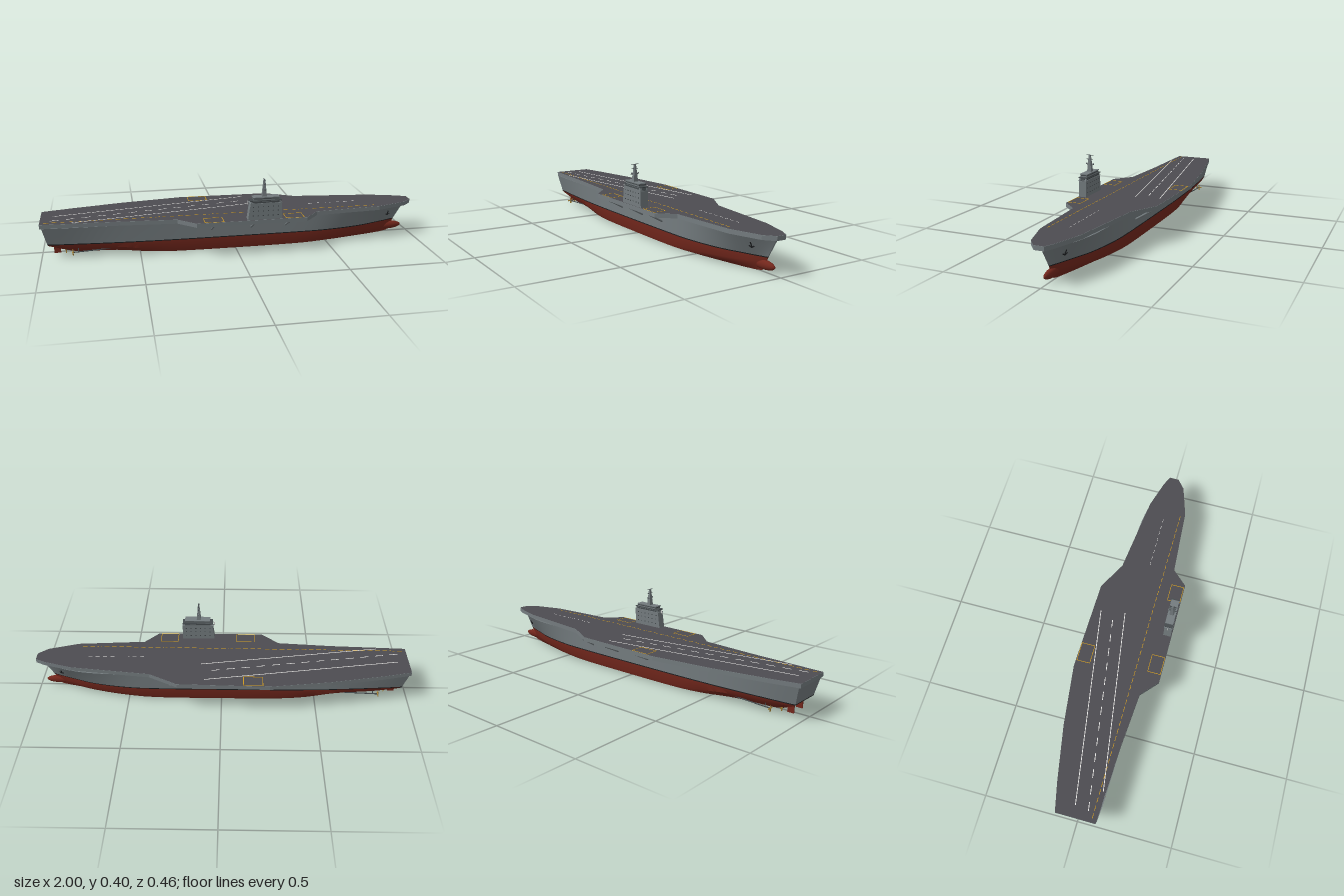
import * as THREE from 'three';
import { toCreasedNormals } from 'three/addons/utils/BufferGeometryUtils.js';

const mat = (name, color) => Object.assign(new THREE.MeshStandardMaterial({ color }), { name });

export function createModel() {
  const root = new THREE.Group();
  root.name = 'aircraftCarrier';
  const grey = mat('hullGrey', 0x747c7f);
  const red = mat('antifoulingRed', 0x73271c);
  const black = mat('blackTrim', 0x1d1f21);
  const deckMat = mat('deckAsphalt', 0x4d4c51);
  const white = mat('markingWhite', 0xe6e6e4);
  const yellow = mat('markingYellow', 0xd09a1e);
  const dark = mat('darkGrey', 0x454b4e);
  const brass = mat('propellerBrass', 0xa98436);

  const V = (x, y, z) => new THREE.Vector3(x, y, z);
  const add = (name, geo, material, parent = root) => {
    const m = new THREE.Mesh(geo, material);
    m.name = name;
    parent.add(m);
    return m;
  };
  const group = (name) => {
    const g = new THREE.Group();
    g.name = name;
    root.add(g);
    return g;
  };
  const box = (name, w, h, d, x, y, z, material, parent) => {
    const m = add(name, new THREE.BoxGeometry(w, h, d), material, parent);
    m.position.set(x, y, z);
    return m;
  };
  const rod = (name, a, b, r, material, parent, sides = 8) => {
    const m = add(name, new THREE.CylinderGeometry(r, r, a.distanceTo(b), sides), material, parent);
    m.position.copy(a).lerp(b, 0.5);
    m.quaternion.setFromUnitVectors(V(0, 1, 0), b.clone().sub(a).normalize());
    return m;
  };

  // Hull stations: x at keel, waterline, deck; half-width at keel, waterline, deck; keel height
  const CZ = 0.003, WL = 0.07, TOP = 0.1665;
  const stations = [
    [-0.93, -0.967, -0.99, 0.02, 0.085, 0.105, 0.045],
    [-0.84, -0.86, -0.87, 0.012, 0.095, 0.113, 0.004],
    [-0.62, -0.62, -0.62, 0.03, 0.112, 0.119, 0.001],
    [-0.42, -0.42, -0.42, 0.085, 0.12, 0.123, 0],
    [-0.2, -0.2, -0.2, 0.102, 0.123, 0.123, 0],
    [0.3, 0.3, 0.3, 0.102, 0.123, 0.123, 0],
    [0.5, 0.5, 0.5, 0.08, 0.115, 0.123, 0],
    [0.68, 0.68, 0.68, 0.045, 0.085, 0.115, 0],
    [0.8, 0.8, 0.8, 0.018, 0.045, 0.095, 0],
    [0.855, 0.865, 0.88, 0.006, 0.022, 0.066, 0.002],
    [0.885, 0.918, 0.975, 0.001, 0.002, 0.004, 0.006],
  ];
  const spline = new THREE.CubicInterpolant(stations.map((_, i) => i), stations.flat(), 7);
  const SUB = 5, sections = [];
  for (let i = 0; i <= (stations.length - 1) * SUB; i++) {
    sections.push(Array.from(spline.evaluate(Math.min(i / SUB, stations.length - 1))));
  }
  const lerp = THREE.MathUtils.lerp;

  // Section rules return [x, y, halfWidth] rows from low to high
  const lowerRows = ([xb, xw, , wb, ww, , k]) => {
    const f = Math.min(1, (wb / ww) * 1.2);
    const ys = [0, lerp(0.5, 0.09, f), lerp(0.85, 0.3, f), 1];
    const ws = [0, 0.7, 0.95, 1];
    return [[xb, k, 0], ...ys.map((t, j) => [lerp(xb, xw, t), lerp(k, WL, t), lerp(wb, ww, ws[j])])];
  };
  const upperRow = ([, xw, xd, , ww, wd], y) => {
    const t = (y - WL) / (TOP - WL);
    return [lerp(xw, xd, t), y, lerp(ww, wd, t)];
  };
  const bandRows = (s) => [upperRow(s, WL), upperRow(s, 0.075)];
  const upperRows = (s) => [...[0.075, 0.1, 0.13, 0.15, TOP].map((y) => upperRow(s, y)), [s[2], TOP, 0]];

  // Loft both sides, closing bow and stern with zero-width sections
  const loft = (rule) => {
    const rows = sections.map(rule);
    const flat = (r) => r.map(([x, y]) => [x, y, 0]);
    const all = [flat(rows[0]), ...rows, flat(rows[rows.length - 1])];
    const n = all[0].length, pos = [], idx = [];
    for (const side of [1, -1]) {
      const base = pos.length / 3;
      for (const r of all) for (const [x, y, w] of r) pos.push(x, y, CZ + side * w);
      for (let i = 0; i < all.length - 1; i++) for (let j = 0; j < n - 1; j++) {
        const a = base + i * n + j, b = a + n, c = b + 1, d = a + 1;
        if (side > 0) idx.push(a, b, c, a, c, d);
        else idx.push(a, c, b, a, d, c);
      }
    }
    const g = new THREE.BufferGeometry();
    g.setAttribute('position', new THREE.Float32BufferAttribute(pos, 3));
    g.setIndex(idx);
    return toCreasedNormals(g, 0.6);
  };
  add('lowerHull', loft(lowerRows), red);
  add('waterlineBand', loft(bandRows), black);
  add('upperHull', loft(upperRows), grey);

  // Bulbous bow
  const bulb = add('bulbousBow', new THREE.SphereGeometry(1, 24, 16), red);
  bulb.scale.set(0.08, 0.023, 0.018);
  bulb.position.set(0.885, 0.035, CZ);

  // Flight deck slab with a dark top surface
  const outline = [
    [-1, 0.105], [-0.85, 0.112], [-0.6, 0.123], [-0.31, 0.145], [-0.22, 0.226], [0.355, 0.226],
    [0.43, 0.145], [0.79, 0.12], [0.95, 0.07], [1, 0.028], [1, -0.022], [0.95, -0.046],
    [0.8, -0.09], [0.38, -0.14], [0.23, -0.22], [-0.25, -0.232], [-0.57, -0.19], [-0.85, -0.137], [-1, -0.103],
  ];
  const shape = new THREE.Shape(outline.map(([x, z]) => new THREE.Vector2(x, -z)));
  const slab = new THREE.ExtrudeGeometry(shape, { depth: 0.021, bevelEnabled: false }).rotateX(-Math.PI / 2);
  add('flightDeckSlab', slab, grey).position.y = 0.166;
  add('flightDeckSurface', new THREE.ShapeGeometry(shape).rotateX(-Math.PI / 2), deckMat).position.y = 0.188;

  // Deck markings
  const marks = group('deckMarkings');
  const stripe = (name, x1, z1, x2, z2, w, m) => {
    const s = box(name, Math.hypot(x2 - x1, z2 - z1), 0.001, w, (x1 + x2) / 2, 0.1885, (z1 + z2) / 2, m, marks);
    s.rotation.y = -Math.atan2(z2 - z1, x2 - x1);
  };
  const dashes = (name, x1, z1, x2, z2, count, fill, w, m) => {
    for (let i = 0; i < count; i++) {
      const a = i / count, b = (i + fill) / count;
      stripe(name, lerp(x1, x2, a), lerp(z1, z2, a), lerp(x1, x2, b), lerp(z1, z2, b), w, m);
    }
  };
  stripe('runwayPortEdge', -0.94, -0.015, 0.09, -0.18, 0.004, white);
  stripe('runwayStarboardEdge', -0.84, 0.1, 0.11, -0.05, 0.004, white);
  dashes('runwayCentreDash', -0.95, 0.055, 0.09, -0.11, 13, 0.55, 0.004, white);
  dashes('safetyLineDash', -0.98, 0.083, 0.78, 0.097, 44, 0.65, 0.003, yellow);
  dashes('bowCentreDash', 0.42, 0.008, 0.74, 0.008, 8, 0.55, 0.002, white);
  const elevators = [[-0.177, -0.08, 0.153, 0.222], [0.245, 0.34, 0.153, 0.222], [-0.215, -0.115, -0.226, -0.155]];
  for (const [x1, x2, z1, z2] of elevators) {
    for (const z of [z1, z2]) stripe('elevatorEdge', x1, z, x2, z, 0.003, yellow);
    for (const x of [x1, x2]) stripe('elevatorSide', x, z1, x, z2, 0.003, yellow);
  }

  // Braces under the deck overhang, both sides
  for (const x of [-0.13, 0.08, 0.265]) {
    rod('starboardBrace', V(x, 0.115, 0.12), V(x, 0.168, 0.216), 0.005, grey);
    rod('portBrace', V(x, 0.115, -0.115), V(x, 0.168, x > 0.2 ? -0.2 : -0.222), 0.005, grey);
  }

  // Island superstructure
  const island = group('island');
  const profile = new THREE.Shape([[0.043, 0.187], [0.22, 0.187], [0.22, 0.27], [0.212, 0.288], [0.06, 0.288], [0.052, 0.25]]
    .map(([x, y]) => new THREE.Vector2(x, y)));
  add('islandBody', new THREE.ExtrudeGeometry(profile, { depth: 0.041, bevelEnabled: false }), grey, island).position.z = 0.181;
  box('bridgeLedge', 0.168, 0.004, 0.046, 0.136, 0.274, 0.201, grey, island);
  box('bridgeRoof', 0.165, 0.004, 0.046, 0.136, 0.289, 0.201, dark, island);
  box('upperBridge', 0.13, 0.016, 0.038, 0.137, 0.297, 0.201, grey, island);
  box('upperBridgeWindows', 0.132, 0.005, 0.04, 0.137, 0.299, 0.201, dark, island);
  box('upperBridgeRoof', 0.138, 0.003, 0.043, 0.137, 0.3055, 0.201, grey, island);
  const pane = box('bridgeFrontWindow', 0.003, 0.015, 0.024, 0.2165, 0.279, 0.201, dark, island);
  pane.rotation.z = 0.42;
  for (const side of [-1, 1]) {
    box('bridgeSideWindows', 0.14, 0.007, 0.002, 0.136, 0.281, 0.2015 + side * 0.0208, dark, island);
    for (const y of [0.21, 0.235, 0.257]) for (let i = 0; i < 6; i++) {
      box('sideWindow', 0.006, 0.005, 0.002, 0.07 + i * 0.026, y, 0.2015 + side * 0.0208, dark, island);
    }
  }
  rod('whipAntenna', V(0.045, 0.268, 0.201), V(0.045, 0.288, 0.201), 0.002, white, island);
  rod('antennaArm', V(0.045, 0.27, 0.201), V(0.06, 0.27, 0.201), 0.002, grey, island);

  // Mast with yards and radar domes
  const mast = new THREE.CylinderGeometry(0.006, 0.017, 0.09, 4, 1).rotateY(Math.PI / 4);
  const mastMesh = add('mast', toCreasedNormals(mast, 0.5), grey, island);
  mastMesh.position.set(0.13, 0.35, 0.201);
  for (const [y, half] of [[0.345, 0.023], [0.372, 0.018], [0.394, 0.019]]) {
    box('yard', 0.006, 0.002, half * 2, 0.13, y, 0.201, dark, island);
  }
  for (const side of [-1, 1]) {
    add('radarDome', new THREE.SphereGeometry(0.004, 12, 8), grey, island).position.set(0.13, 0.349, 0.201 + side * 0.019);
  }

  // Anchors, rudders, shafts and propellers, mirrored
  for (const side of [1, -1]) {
    const z = (d) => CZ + side * d;
    rod('anchorShank', V(0.865, 0.11, z(0.046)), V(0.865, 0.138, z(0.057)), 0.003, black);
    rod('anchorFluke', V(0.853, 0.119, z(0.054)), V(0.865, 0.111, z(0.047)), 0.003, black);
    rod('anchorFluke', V(0.865, 0.111, z(0.047)), V(0.877, 0.119, z(0.044)), 0.003, black);
    box('rudder', 0.034, 0.05, 0.006, -0.922, 0.036, z(0.04), red);
    for (const [d, x0, x1] of [[0.09, -0.6, -0.84], [0.045, -0.68, -0.875]]) {
      rod('propellerShaft', V(x0, 0.038, z(d)), V(x1, 0.026, z(d)), 0.003, dark);
      rod('shaftStrut', V(x1 + 0.025, 0.027, z(d)), V(x1 + 0.025, 0.075, z(d * 0.85)), 0.002, dark);
      const prop = new THREE.Group();
      prop.name = 'propeller';
      prop.position.set(x1 - 0.003, 0.026, z(d));
      root.add(prop);
      add('propellerHub', new THREE.SphereGeometry(0.005, 10, 8), brass, prop);
      for (let i = 0; i < 4; i++) {
        const blade = add('propellerBlade', new THREE.BoxGeometry(0.002, 0.016, 0.007).translate(0, 0.009, 0).rotateY(0.5), brass, prop);
        blade.rotation.x = (i * Math.PI) / 2;
      }
    }
  }
  return root;
}
